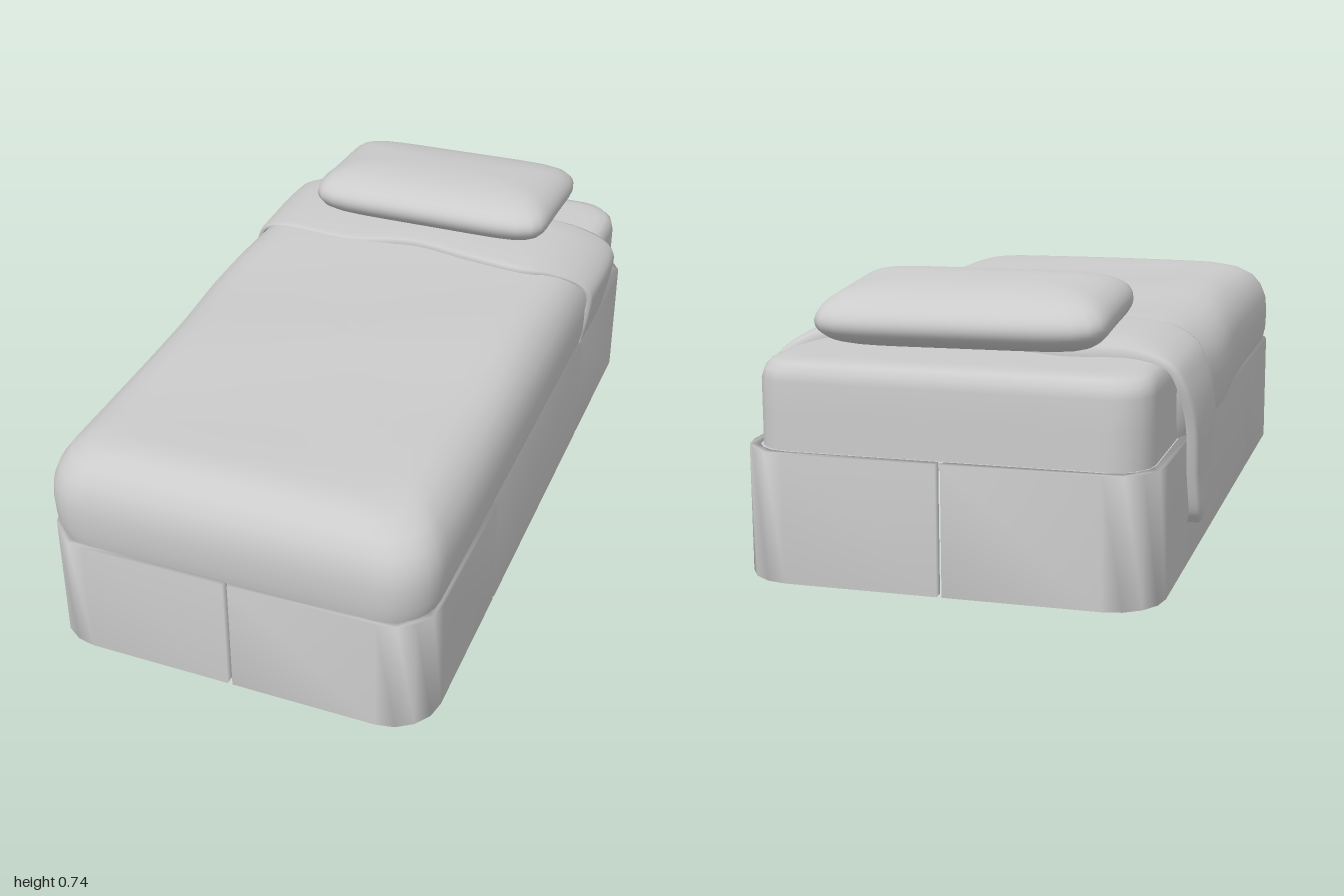
import * as THREE from 'three';
import { mergeVertices } from 'three/addons/utils/BufferGeometryUtils.js';

const grey = new THREE.MeshStandardMaterial({ color: 0xcccccc });
const cloth = new THREE.MeshStandardMaterial({ color: 0xcccccc, side: THREE.DoubleSide });
const CX = 0.0115, HX = 0.531, WALL = 0.027, R = 0.13;

function add(group, name, geometry, material = grey) {
  const mesh = new THREE.Mesh(geometry, material);
  mesh.name = name;
  group.add(mesh);
  return mesh;
}

function indexed(positions, index) {
  const g = new THREE.BufferGeometry();
  g.setAttribute('position', new THREE.Float32BufferAttribute(positions, 3));
  g.setIndex(index);
  g.computeVertexNormals();
  return g;
}

// Rounded rectangle centred on the origin
function roundedRect(hx, hz, r) {
  const s = new THREE.Shape();
  s.moveTo(hx, 0);
  s.absarc(hx - r, hz - r, r, 0, Math.PI / 2);
  s.absarc(-hx + r, hz - r, r, Math.PI / 2, Math.PI);
  s.absarc(-hx + r, -hz + r, r, Math.PI, Math.PI * 1.5);
  s.absarc(hx - r, -hz + r, r, Math.PI * 1.5, Math.PI * 2);
  s.closePath();
  return s;
}

// Cushion: rings of [inset, y] on a rounded rectangle, closed to the middle of the top
function cushion(hx, hz, r, cz, rings, rule) {
  const outline = roundedRect(hx, hz, r).getSpacedPoints(160).slice(0, 160);
  const n = outline.length, top = rings[rings.length - 1][1];
  const levels = rings.map(([d, y]) => [1 - d / hx, 1 - d / hz, y]);
  const [lx, lz] = levels[levels.length - 1];
  for (const k of [0.85, 0.65, 0.4, 0.2, 0]) levels.push([lx * k, lz * k, top]);
  const pos = [], idx = [];
  const p = new THREE.Vector3();
  levels.forEach(([sx, sz, y], j) => outline.forEach((o, i) => {
    p.set(CX + o.x * sx, y, cz + o.y * sz);
    if (rule) rule(p);
    pos.push(p.x, p.y, p.z);
    if (j === levels.length - 1) return;
    const a = j * n + i, b = j * n + (i + 1) % n;
    idx.push(a, a + n, b, b, a + n, b + n);
  }));
  return indexed(pos, idx);
}

function upright(shape, height) {
  const g = new THREE.ExtrudeGeometry(shape, { depth: height, bevelEnabled: false, curveSegments: 10 });
  return g.rotateX(-Math.PI / 2);
}

// Normals averaged over every edge, for softly shaded panels
function softened(geometry) {
  geometry.deleteAttribute('normal');
  geometry.deleteAttribute('uv');
  const g = mergeVertices(geometry);
  g.computeVertexNormals();
  return g;
}

// Quarter of the base wall, bent round one corner
function cornerPanel(sx, sz) {
  const side = (r) => {
    const line = [[sx * 0.0065 + 0.0115, sz * (1 - (R - r))]];
    for (let i = 0; i <= 4; i++) {
      const a = Math.PI / 2 * (1 - i / 4);
      line.push([CX + sx * (HX - R + r * Math.cos(a)), sz * (1 - R + r * Math.sin(a))]);
    }
    line.push([CX + sx * (HX - R + r), sz * 0.435]);
    return line.map(([x, z]) => new THREE.Vector2(x, -z));
  };
  return softened(upright(new THREE.Shape([...side(R), ...side(R - WALL).reverse()]), 0.33));
}

// Folded sheet, swept between a back edge and a front edge
function foldedSheet() {
  // x, y, back z, front z
  const stations = [
    [-0.552, 0.115, -0.6, -0.55], [-0.56, 0.15, -0.63, -0.52], [-0.56, 0.25, -0.665, -0.465],
    [-0.56, 0.4, -0.7, -0.425], [-0.54, 0.49, -0.725, -0.415], [-0.505, 0.55, -0.735, -0.395],
    [-0.41, 0.592, -0.735, -0.36], [-0.2, 0.598, -0.72, -0.345], [0, 0.615, -0.71, -0.37],
    [0.2, 0.613, -0.7, -0.345], [0.36, 0.61, -0.685, -0.33], [0.45, 0.587, -0.7, -0.37],
    [0.525, 0.543, -0.72, -0.41], [0.557, 0.5, -0.73, -0.425], [0.555, 0.44, -0.73, -0.43],
    [0.535, 0.33, -0.72, -0.43],
  ];
  const edge = (k) => new THREE.CatmullRomCurve3(stations.map(s => new THREE.Vector3(s[0], s[1], s[k])));
  const back = edge(2), front = edge(3);
  const rows = [[0, 0.045], [0, 0.016], [0.06, 0.004], [0.25, -0.002], [0.5, -0.004], [0.75, -0.002], [0.95, 0], [1, 0.005], [1, 0.022]];
  const cols = 80, pos = [], idx = [], w = cols + 1;
  rows.forEach(([v, d], j) => {
    for (let i = 0; i <= cols; i++) {
      const p = back.getPoint(i / cols).lerp(front.getPoint(i / cols), v);
      const side = Math.min(1, Math.abs(p.x / 0.55) ** 5);
      pos.push(p.x - Math.sign(p.x) * d * side * 0.7, p.y - d * (1 - side), p.z);
      if (i === cols || j === rows.length - 1) continue;
      const a = j * w + i;
      idx.push(a, a + w, a + 1, a + 1, a + w, a + w + 1);
    }
  });
  return indexed(pos, idx);
}

// Puffy pillow: a sphere pushed out to a soft rectangle with blunt ends
function pillowGeometry() {
  const g = new THREE.SphereGeometry(1, 64, 40);
  const p = g.attributes.position;
  for (let i = 0; i < p.count; i++) {
    const x = p.getX(i), y = p.getY(i), z = p.getZ(i);
    const rho = Math.hypot(x, z);
    if (rho < 1e-4) { p.setXYZ(i, 0, Math.sign(y) * 0.083, 0); continue; }
    const c = x / rho, s = z / rho;
    const k = 1 / (Math.abs(c) ** 7 + Math.abs(s) ** 7) ** (1 / 7);
    const px = c * k * rho ** 0.4, pz = s * k * rho ** 0.85;
    p.setXYZ(i, px * (0.368 + 0.006 * pz * pz), y * 0.083, pz * 0.245 - 0.012 * px * (1 - pz) / 2);
  }
  g.computeVertexNormals();
  return g;
}

export function createModel() {
  const model = new THREE.Group();
  model.name = 'bed';

  // Hollow base of six panels
  const base = new THREE.Group();
  base.name = 'base';
  model.add(base);
  for (const sx of [-1, 1]) {
    for (const sz of [-1, 1]) add(base, 'cornerPanel', cornerPanel(sx, sz));
    const panel = add(base, 'sidePanel', softened(new THREE.BoxGeometry(WALL, 0.33, 0.848)));
    panel.position.set(CX + sx * (HX - WALL / 2), 0.165, 0);
  }

  // Bed board under the mattress
  const board = add(base, 'bedBoard', upright(roundedRect(HX - WALL, 1 - WALL, R - WALL), 0.02));
  board.position.set(CX, 0.308, 0);

  // Posts with arms and round knobs, at the right wall joints
  for (const z of [-0.43, 0.43]) {
    const post = add(base, 'jointPost', new THREE.CylinderGeometry(0.014, 0.014, 0.25, 12));
    post.position.set(-0.475, 0.16, z + 0.012);
    const arm = add(base, 'jointArm', new THREE.CylinderGeometry(0.02, 0.02, 0.25, 12));
    arm.rotation.z = Math.PI / 2 - 0.15;
    arm.position.set(-0.365, 0.258, z);
    add(base, 'jointKnob', new THREE.SphereGeometry(0.038, 12, 8)).position.set(-0.24, 0.236, z);
  }

  // Mattress
  add(model, 'mattress', cushion(0.5, 0.96, 0.1, 0,
    [[0, 0.32], [0, 0.42], [0, 0.5], [0.006, 0.525], [0.02, 0.543], [0.045, 0.55], [0.08, 0.552]]));

  // Duvet, slightly rumpled and bulging on the right
  add(model, 'duvet', cushion(0.529, 0.825, 0.13, 0.172,
    [[0.012, 0.325], [0.002, 0.37], [0, 0.43], [0.004, 0.475], [0.018, 0.515], [0.043, 0.55],
      [0.078, 0.573], [0.118, 0.585], [0.165, 0.589]],
    (p) => {
      if (p.x < -0.3) p.x -= 0.022 * Math.exp(-(((p.z + 0.15) / 0.3) ** 2)) * (-p.x - 0.3) / 0.2;
      if (p.y > 0.55) p.y += 0.003 * Math.sin(p.z * 9 + p.x * 4);
    }), cloth);

  // Turned-down sheet hanging over both sides
  add(model, 'foldedSheet', foldedSheet(), cloth);

  // Pillow
  const pillow = add(model, 'pillow', pillowGeometry());
  pillow.position.set(0.014, 0.655, -0.66);
  pillow.rotation.set(-0.08, 0.012, 0);

  return model;
}
